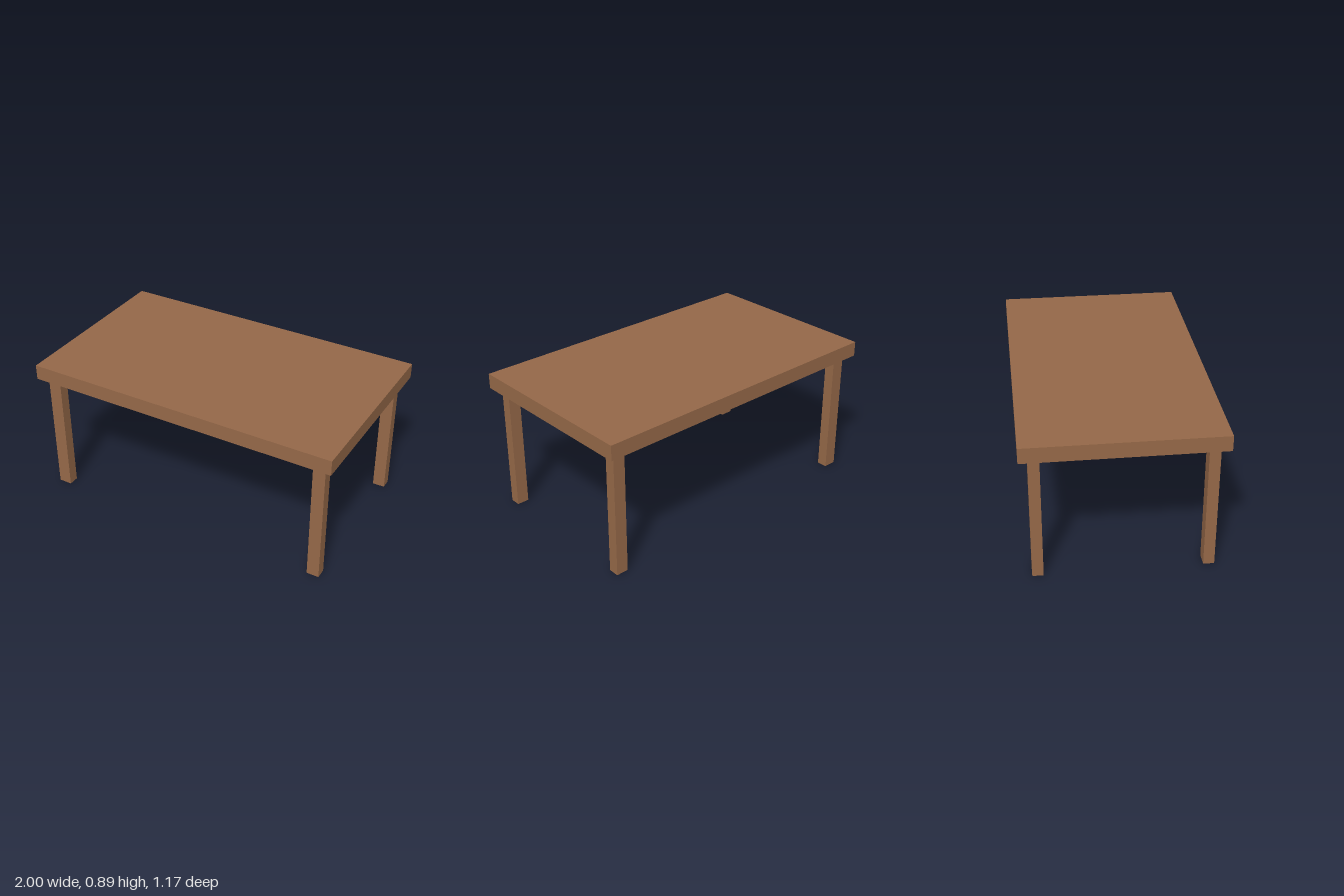
import * as THREE from 'three';

export function createModel() {
  const model = new THREE.Group();
  model.name = 'table';
  const wood = new THREE.MeshStandardMaterial({ color: 0x956848 });

  // Box given by its lower and upper corners
  function addBox(name, [x0, y0, z0], [x1, y1, z1]) {
    const mesh = new THREE.Mesh(new THREE.BoxGeometry(x1 - x0, y1 - y0, z1 - z0), wood);
    mesh.position.set((x0 + x1) / 2, (y0 + y1) / 2, (z0 + z1) / 2);
    mesh.name = name;
    model.add(mesh);
  }

  // Thick slab top
  addBox('tableTop', [-1, 0.8, -0.585], [1, 0.895, 0.585]);

  // Square legs, the right pair slightly wider
  const sides = [['Left', 0.87, 0.947], ['Right', -0.95, -0.865]];
  const rows = [['front', 0.469, 0.535], ['back', -0.532, -0.466]];
  for (const [side, x0, x1] of sides) {
    for (const [row, z0, z1] of rows) {
      addBox(`${row}${side}Leg`, [x0, 0, z0], [x1, 0.8, z1]);
    }
  }
  return model;
}
